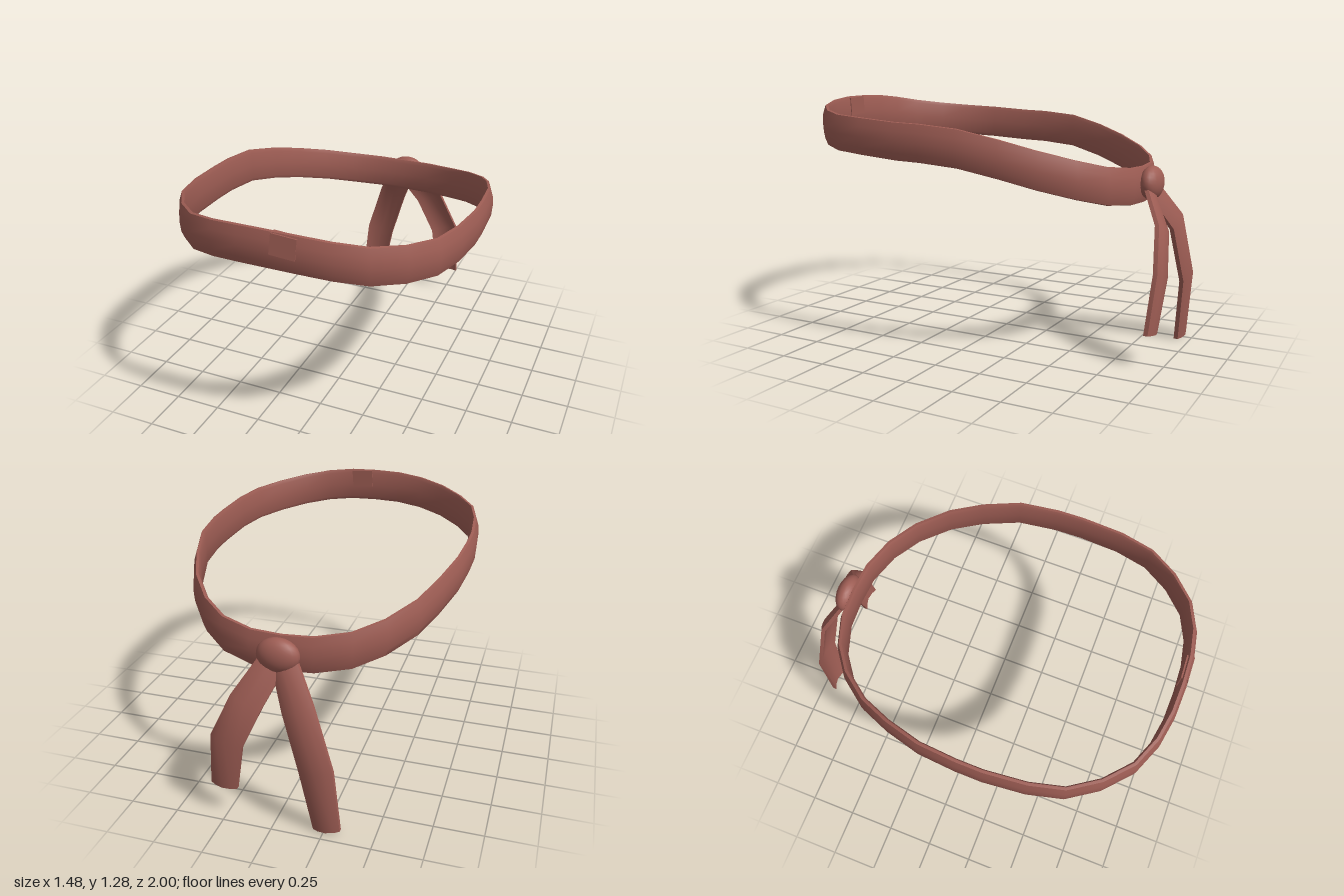
import * as THREE from 'three';
import { toCreasedNormals } from 'three/addons/utils/BufferGeometryUtils.js';

// Skin a list of equal cross-section rings; either a closed loop or a capped strip
function loft(rings, closed) {
  const n = rings[0].length, m = rings.length, index = [];
  const position = rings.flat().flatMap((p) => [p.x, p.y, p.z]);
  for (let i = 0; i < (closed ? m : m - 1); i++) {
    const k = (i + 1) % m;
    for (let j = 0; j < n; j++) {
      const l = (j + 1) % n;
      const a = i * n + j, b = k * n + j, c = k * n + l, d = i * n + l;
      index.push(a, b, c, a, c, d);
    }
  }
  if (!closed) {
    // each cap pairs the back edge of the section with its front edge
    const end = (m - 1) * n;
    for (let j = 0; j < n / 2 - 1; j++) {
      const a = j, b = j + 1, c = n - 2 - j, d = n - 1 - j;
      index.push(a, b, c, a, c, d);
      index.push(end + a, end + c, end + b, end + a, end + d, end + c);
    }
  }
  const g = new THREE.BufferGeometry();
  g.setAttribute('position', new THREE.Float32BufferAttribute(position, 3));
  g.setIndex(index);
  return toCreasedNormals(g, 0.9);
}

// Band: half outline (x, y, z) from front to back, mirrored to a full loop
function bandGeometry() {
  const half = [
    [0, 1.19, 0.98], [0.15, 1.187, 0.975], [0.295, 1.173, 0.95], [0.44, 1.15, 0.89],
    [0.565, 1.13, 0.775], [0.66, 1.115, 0.63], [0.702, 1.105, 0.455], [0.72, 1.09, 0.24],
    [0.718, 1.085, 0.1], [0.7, 1.067, -0.1], [0.643, 1.02, -0.295], [0.572, 0.97, -0.46],
    [0.455, 0.92, -0.615], [0.32, 0.882, -0.72], [0.155, 0.864, -0.78], [0, 0.86, -0.79],
  ];
  const path = [...half, ...half.slice(1, -1).reverse().map(([x, y, z]) => [-x, y, z])]
    .map((p) => new THREE.Vector3(...p));
  // (outward offset, height), bulging on the outer face
  const section = [
    [-0.012, -0.094], [0.003, -0.09], [0.016, -0.055], [0.02, 0], [0.016, 0.05],
    [0.002, 0.092], [-0.012, 0.094], [-0.02, 0.075], [-0.02, 0], [-0.022, -0.075],
  ];
  const m = path.length;
  return loft(path.map((p, i) => {
    const t = path[(i + 1) % m].clone().sub(path[(i + m - 1) % m]).setY(0).normalize();
    const out = new THREE.Vector3(-t.z, 0, t.x);
    return section.map(([o, h]) => p.clone().addScaledVector(out, o).add(new THREE.Vector3(0, h, 0)));
  }), true);
}

// Tail: rows of [xA, yA, xB, yB, z], edge A on the greater x, bowed towards the back
function tailGeometry(rows) {
  const steps = [0, 0.2, 0.5, 0.8, 1];
  return loft(rows.map(([xa, ya, xb, yb, z]) => {
    const at = (s, off) => new THREE.Vector3(
      xa + (xb - xa) * s, ya + (yb - ya) * s, z + 0.012 - 0.09 * s * (1 - s) + off);
    return [...steps.map((s) => at(s, -0.011)), ...steps.slice().reverse().map((s) => at(s, 0.011))];
  }), false);
}

export function createModel() {
  const group = new THREE.Group();
  const cloth = new THREE.MeshStandardMaterial({ color: 0x9e5d54 });
  cloth.name = 'reddish brown cloth';
  const add = (name, geometry) => {
    const mesh = new THREE.Mesh(geometry, cloth);
    mesh.name = name;
    group.add(mesh);
    return mesh;
  };

  add('band', bandGeometry());

  // Knot at the back
  const knot = add('knot', new THREE.SphereGeometry(1, 20, 14));
  knot.scale.set(0.107, 0.087, 0.058);
  knot.position.set(0, 0.87, -0.832);

  // Hanging tails
  add('leftTail', tailGeometry([
    [0.09, 0.86, -0.03, 0.8, -0.84],
    [0.2, 0.69, 0.05, 0.63, -0.94],
    [0.302, 0.47, 0.145, 0.42, -0.97],
    [0.33, 0.172, 0.195, 0.155, -0.94],
  ]));
  add('rightTail', tailGeometry([
    [0.03, 0.8, -0.09, 0.86, -0.84],
    [-0.05, 0.63, -0.2, 0.69, -0.94],
    [-0.14, 0.34, -0.305, 0.37, -0.975],
    [-0.195, 0.003, -0.33, 0.017, -0.94],
  ]));

  // Small patch beside the front seam, on both faces of the band
  for (const [name, z] of [['outerPatch', 0.992], ['innerPatch', 0.956]]) {
    const patch = add(name, new THREE.BoxGeometry(0.125, 0.1, 0.008));
    patch.position.set(0.082, 1.225, z);
    patch.rotation.set(z > 0.97 ? -0.12 : 0, 0.03, -0.08);
  }
  return group;
}
